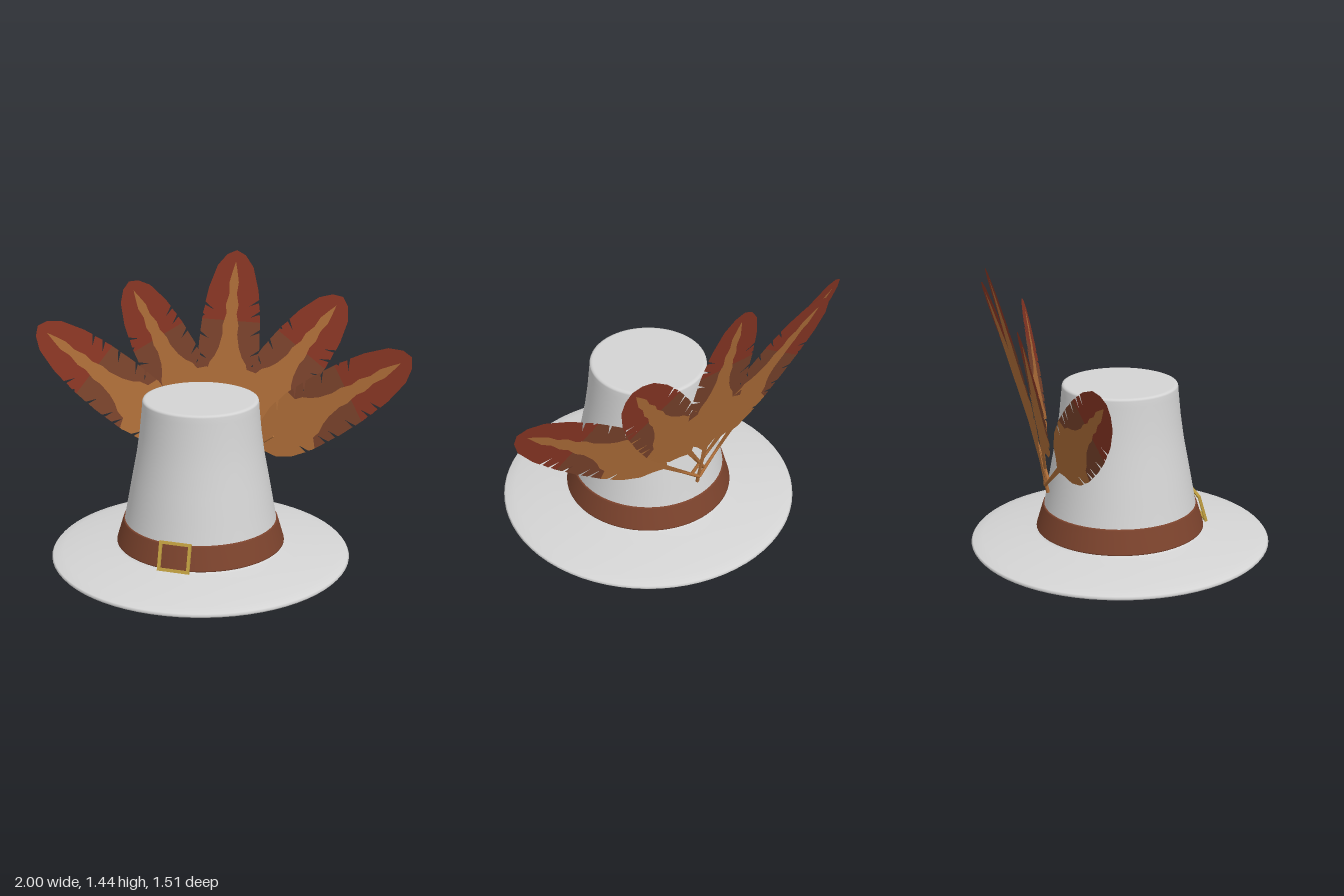
import * as THREE from 'three';

const mat = (name, color, side = THREE.FrontSide) => {
  const m = new THREE.MeshStandardMaterial({ color, side });
  m.name = name;
  return m;
};
const V = (x, y, z) => new THREE.Vector3(x, y, z);

export function createModel() {
  const felt = mat('pale felt', 0xd4d4d4);
  const leather = mat('brown leather', 0x7c432d);
  const gold = mat('brass', 0xc2a041);
  const tan = mat('feather tan', 0xad6d38, THREE.DoubleSide);
  const brown = mat('feather brown', 0x7a432c, THREE.DoubleSide);
  const red = mat('feather red', 0x893624, THREE.DoubleSide);

  const model = new THREE.Group();
  model.name = 'featheredHat';
  const add = (parent, name, geometry, material) => {
    const mesh = new THREE.Mesh(geometry, material);
    mesh.name = name;
    parent.add(mesh);
    return mesh;
  };
  const lathe = pts => new THREE.LatheGeometry(pts.map(p => new THREE.Vector2(...p)), 72);

  // Hat: hollow crown and brim, one profile from inside top to outside top
  const hat = new THREE.Group();
  hat.name = 'hat';
  hat.position.x = 0.01;
  model.add(hat);
  add(hat, 'crownAndBrim', lathe([
    [0, 0.8], [0.262, 0.8], [0.27, 0.79], [0.29, 0.62], [0.33, 0.4], [0.36, 0.2],
    [0.372, 0.08], [0.385, 0.03], [0.41, 0.006], [0.44, 0.002], [0.6, 0], [0.73, 0.001],
    [0.75, 0.007], [0.757, 0.016], [0.75, 0.025], [0.7, 0.037], [0.6, 0.053], [0.5, 0.066],
    [0.43, 0.074], [0.413, 0.078], [0.408, 0.09], [0.385, 0.2], [0.365, 0.31], [0.343, 0.43],
    [0.32, 0.55], [0.303, 0.67], [0.291, 0.79], [0.289, 0.82], [0.286, 0.828], [0.278, 0.831],
    [0.27, 0.832], [0, 0.832]
  ]), felt);

  // Band around the crown
  add(hat, 'hatBand', lathe([
    [0.4, 0.084], [0.42, 0.084], [0.425, 0.087], [0.424, 0.092], [0.392, 0.2],
    [0.39, 0.205], [0.386, 0.206], [0.375, 0.206]
  ]), leather);

  // Square buckle frame leaning with the band
  const frame = new THREE.Shape();
  frame.moveTo(-0.081, -0.073).lineTo(0.081, -0.073).lineTo(0.081, 0.073).lineTo(-0.081, 0.073).closePath();
  const hole = new THREE.Path();
  hole.moveTo(-0.067, -0.059).lineTo(-0.067, 0.059).lineTo(0.067, 0.059).lineTo(0.067, -0.059).closePath();
  frame.holes.push(hole);
  const buckle = add(hat, 'buckle',
    new THREE.ExtrudeGeometry(frame, { depth: 0.014, bevelEnabled: false }), gold);
  buckle.position.set(0, 0.15, 0.41);
  buckle.rotation.x = -0.28;

  // Feather half outline and tan centre, as [fraction of length, half width]
  const edge = [[0, 0.007], [0.2, 0.014], [0.235, 0.05], [0.27, 0.1], [0.34, 0.14], [0.44, 0.162],
    [0.58, 0.166], [0.7, 0.158], [0.83, 0.135], [0.93, 0.097], [0.98, 0.05], [1, 0]];
  const rib = [[0.45, 0.16], [0.465, 0.11], [0.5, 0.1], [0.53, 0.075], [0.57, 0.055], [0.63, 0.04],
    [0.67, 0.043], [0.72, 0.028], [0.76, 0.034], [0.81, 0.02], [0.86, 0.025], [0.91, 0.012], [0.95, 0]];
  const notches = [0.4, 0.5, 0.55, 0.64, 0.72, 0.77];

  const widthAt = (list, u) => {
    if (u >= list[list.length - 1][0]) return 0;
    const i = Math.max(1, list.findIndex(p => p[0] > u));
    const [a, b] = [list[i - 1], list[i]];
    return a[1] + (b[1] - a[1]) * (u - a[0]) / (b[0] - a[0]);
  };
  // Points of a curve between two stations, optionally cut by slanted notches
  const run = (list, u0, u1, cuts = []) => {
    const pts = [[u0, widthAt(list, u0)]];
    list.forEach(p => { if (p[0] > u0 && p[0] < u1) pts.push(p); });
    cuts.forEach(u => {
      if (u < u0 || u > u1) return;
      const w = widthAt(list, u);
      pts.push([u - 0.007, w], [u - 0.006, w - 0.05, true], [u + 0.007, w]);
    });
    pts.push([u1, widthAt(list, u1)]);
    return pts.sort((a, b) => a[0] - b[0])
      .map(p => (p[2] ? [p[0] - 0.018, p[1]] : p));
  };
  const panel = (pts, side, length) => {
    const geometry = new THREE.ShapeGeometry(
      new THREE.Shape(pts.map(([u, w]) => new THREE.Vector2(side * w, u * length))));
    // gentle bow along the length
    const pos = geometry.attributes.position;
    for (let i = 0; i < pos.count; i++) {
      pos.setZ(i, 0.02 * Math.sin(Math.PI * pos.getY(i) / length));
    }
    return geometry;
  };

  const feather = (name, base, tip, across) => {
    const g = new THREE.Group();
    g.name = name;
    const yAxis = tip.clone().sub(base);
    const length = yAxis.length();
    yAxis.normalize();
    const xAxis = across.clone().addScaledVector(yAxis, -across.dot(yAxis)).normalize();
    const zAxis = xAxis.clone().cross(yAxis);
    g.quaternion.setFromRotationMatrix(new THREE.Matrix4().makeBasis(xAxis, yAxis, zAxis));
    g.position.copy(base);
    for (const side of [-1, 1]) {
      const cuts = notches.map(u => u + side * 0.012);
      const inner = (a, b) => run(rib, a, b).reverse();
      add(g, 'tanCentre', panel(
        [[0, 0], ...run(edge, 0, 0.45, cuts), ...run(rib, 0.45, 0.95)], side, length), tan);
      add(g, 'brownMiddle', panel(
        [...run(edge, 0.45, 0.69, cuts), ...inner(0.45, 0.69)], side, length), brown);
      add(g, 'redTip', panel(
        [...run(edge, 0.69, 1, cuts), ...inner(0.69, 0.95)], side, length), red);
    }
    // Quill
    const quill = add(g, 'quill', new THREE.CylinderGeometry(0.005, 0.009, 0.3 * length, 8), tan);
    quill.position.set(0, 0.15 * length, 0.008);
    quill.rotation.x = 0.05;
    model.add(g);
  };

  // Fan of five feathers behind the crown
  feather('centreFeather', V(0, 0.29, -0.372), V(0, 1.445, -0.655), V(1, 0, 0));
  for (const s of [-1, 1]) {
    const label = s > 0 ? 'left' : 'right';
    feather(label + 'InnerFeather', V(-0.04 * s, 0.36, -0.375), V(0.585 * s, 1.25, -0.595),
      V(0.85, -0.52 * s, 0.125 * s));
    feather(label + 'OuterFeather', V(0, 0.33, -0.385), V(0.995 * s, 1.045, -0.305),
      V(0.57, -0.82 * s, 0.35 * s));
  }
  return model;
}
